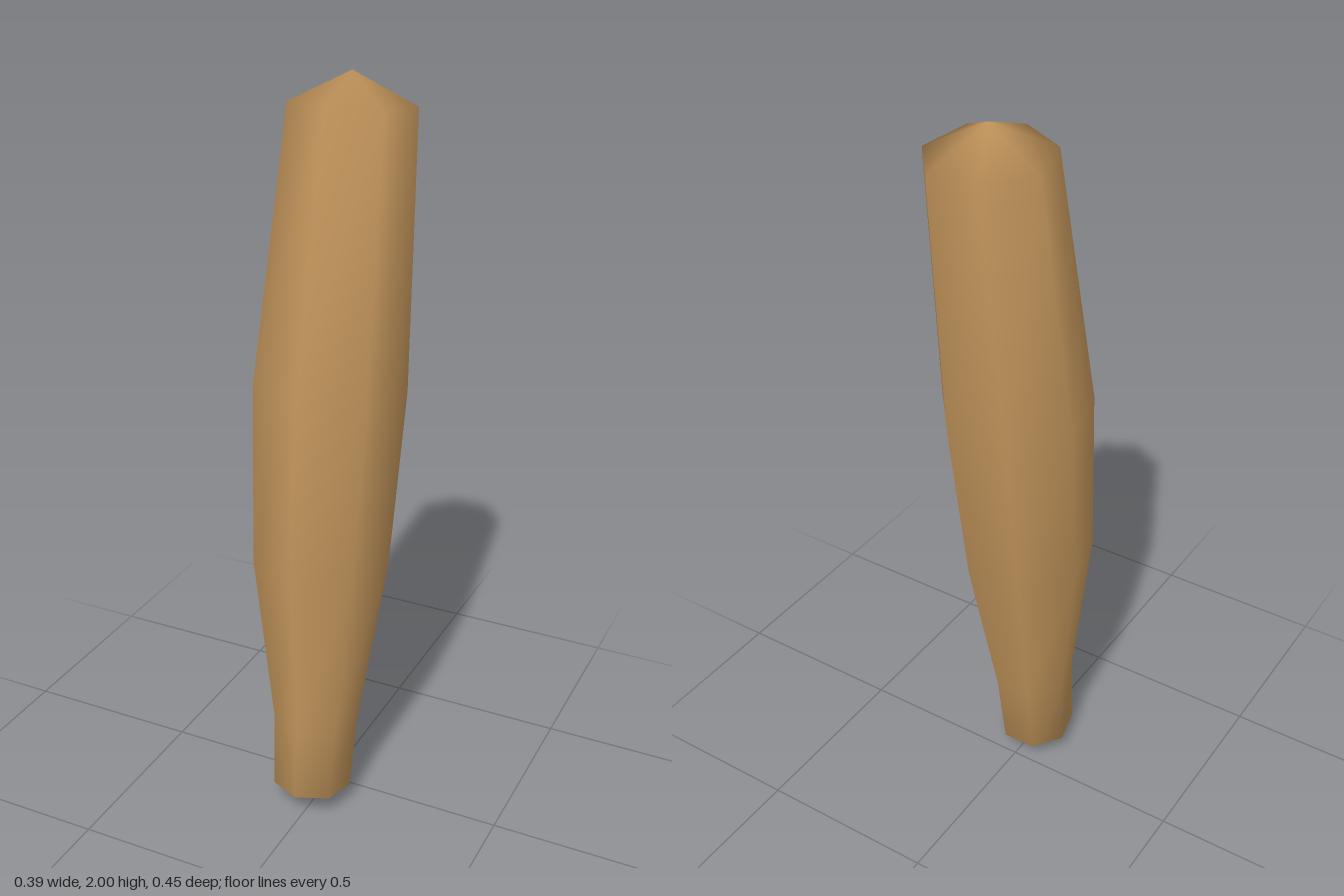
import * as THREE from 'three';

const SIDES = 7;

// Rings from bottom to top: centre x, y, z, radius and forward tilt (rise per unit z)
const RINGS = [
  { x: -0.01, y: 0.06, z: 0.102, r: 0.108, tilt: 0.1 },
  { x: -0.005, y: 0.28, z: 0.084, r: 0.117, tilt: 0.06 },
  { x: -0.008, y: 0.75, z: 0.044, r: 0.182, tilt: 0.05 },
  { x: -0.002, y: 1.23, z: 0, r: 0.199, tilt: 0.1 },
  { x: 0.017, y: 1.924, z: -0.083, r: 0.16, tilt: 0.1 },
];

// Lofts the rings into one closed, smooth-shaded skin with a pointed cap at each end
function loft(rings, bottomTip, topTip) {
  const positions = [];
  const index = [];
  for (const { x, y, z, r, tilt } of rings) {
    for (let i = 0; i < SIDES; i++) {
      const a = (i / SIDES) * Math.PI * 2;
      const dz = Math.cos(a) * r;
      positions.push(x + Math.sin(a) * r, y + dz * tilt, z + dz);
    }
  }
  const bottom = rings.length * SIDES;
  const top = bottom + 1;
  positions.push(...bottomTip, ...topTip);

  const last = (rings.length - 1) * SIDES;
  for (let i = 0; i < SIDES; i++) {
    const j = (i + 1) % SIDES;
    for (let k = 0; k < last; k += SIDES) {
      index.push(k + i, k + j, k + SIDES + j, k + i, k + SIDES + j, k + SIDES + i);
    }
    index.push(bottom, j, i, top, last + i, last + j);
  }

  const geometry = new THREE.BufferGeometry();
  geometry.setAttribute('position', new THREE.Float32BufferAttribute(positions, 3));
  geometry.setIndex(index);
  geometry.computeVertexNormals();
  return geometry;
}

export function createModel() {
  const group = new THREE.Group();
  group.name = 'limb';

  // Tapered, gently leaning limb
  const limb = new THREE.Mesh(
    loft(RINGS, [-0.01, 0, 0.108], [0.016, 2, -0.083]),
    new THREE.MeshStandardMaterial({ color: 0xc0935a })
  );
  limb.name = 'limbSegment';
  group.add(limb);

  return group;
}
